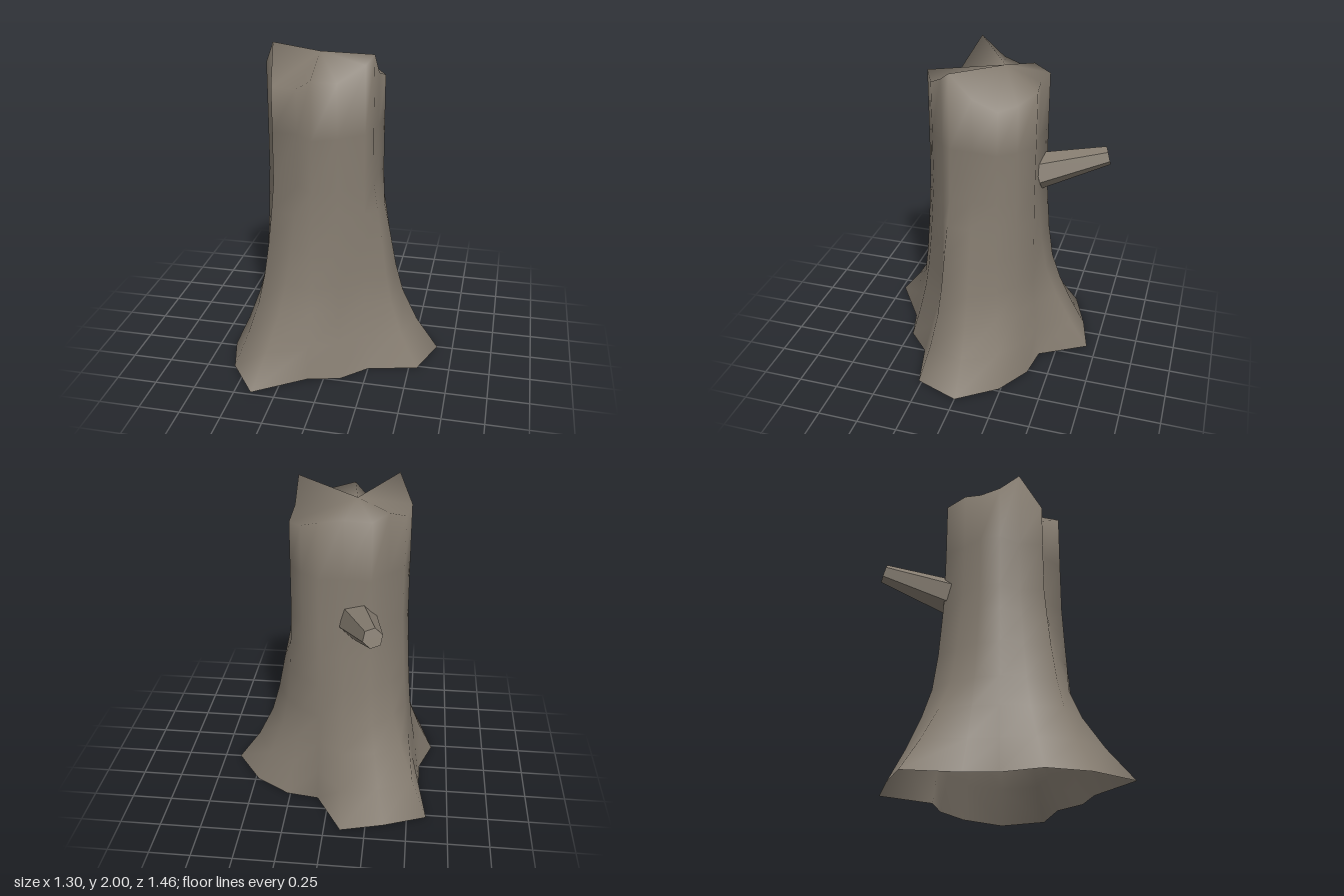
import * as THREE from 'three';

// How far the bark flares towards the root outline at each height
const heights = [0, 0.2, 0.4, 0.58, 0.8, 1, 1.18, 1.5];
const root = [1, 0.68, 0.42, 0.27, 0.15, 0.07, 0.01, 0];
const longRoot = [1, 0.66, 0.43, 0.31, 0.21, 0.11, 0.02, 0];
const backRoot = [1, 0.67, 0.39, 0.2, 0.1, 0.05, 0.01, 0];
const hollow = [1, 0.65, 0.3, 0.14, 0.07, 0.03, 0, 0];

// Columns of bark from +x towards +z: [root x, z, rim x, z, y, flare]
const columns = [
  [0.65, 0, 0.235, 0, 1.82, longRoot],
  [0.55, 0.27, 0.23, 0.14, 1.96, longRoot],
  [0.25, 0.34, 0.19, 0.2, 1.91, hollow],
  [0.1, 0.48, 0.05, 0.31, 1.83, root],
  [-0.1, 0.53, -0.09, 0.38, 1.85, root],
  [-0.4, 0.73, -0.2, 0.27, 1.77, root],
  [-0.58, 0.48, -0.35, 0.26, 1.77, root],
  [-0.65, 0.23, -0.37, 0.12, 2, root],
  [-0.57, 0, -0.45, 0, 1.85, root],
  [-0.57, -0.2, -0.42, -0.12, 1.82, root],
  [-0.62, -0.52, -0.33, -0.22, 1.87, backRoot],
  [-0.36, -0.62, -0.24, -0.34, 1.85, backRoot],
  [-0.1, -0.69, -0.08, -0.32, 1.85, backRoot],
  [0.07, -0.4, 0.06, -0.335, 1.84, hollow],
  [0.27, -0.37, 0.17, -0.25, 1.79, hollow],
  [0.48, -0.24, 0.25, -0.15, 1.77, hollow],
];

function trunkGeometry() {
  const n = columns.length;
  const positions = [];
  const index = [];
  heights.forEach((y, level) => {
    columns.forEach(([rootX, rootZ, x, z, , flare]) => {
      positions.push(THREE.MathUtils.lerp(x, rootX, flare[level]), y, THREE.MathUtils.lerp(z, rootZ, flare[level]));
    });
  });
  columns.forEach(([, , x, z, y]) => positions.push(x, y, z));
  positions.push(-0.14, 1.91, -0.09);

  // Bark wall, left open underneath
  for (let r = 0; r < heights.length; r++) {
    for (let i = 0; i < n; i++) {
      const a = r * n + i;
      const b = r * n + (i + 1) % n;
      index.push(a, a + n, b, b, a + n, b + n);
    }
  }
  // Broken top: a fan from the heartwood to the jagged rim
  const o = heights.length * n;
  for (let i = 0; i < n; i++) index.push(o + n, o + (i + 1) % n, o + i);

  const g = new THREE.BufferGeometry();
  g.setAttribute('position', new THREE.Float32BufferAttribute(positions, 3));
  g.setIndex(index);
  g.computeVertexNormals();
  return g;
}

// Six-sided tapered limb between two points, flat shaded
function limbGeometry(from, to, r0, r1) {
  const axis = to.clone().sub(from);
  let g = new THREE.CylinderGeometry(r1, r0, axis.length(), 6);
  g.applyQuaternion(new THREE.Quaternion().setFromUnitVectors(new THREE.Vector3(0, 1, 0), axis.normalize()));
  const mid = from.clone().add(to).multiplyScalar(0.5);
  g.translate(mid.x, mid.y, mid.z);
  g = g.toNonIndexed();
  g.computeVertexNormals();
  return g;
}

export function createModel() {
  const model = new THREE.Group();
  model.name = 'treeStump';
  const bark = new THREE.MeshStandardMaterial({ color: 0x857c70, side: THREE.DoubleSide });
  bark.name = 'bark';

  const trunk = new THREE.Mesh(trunkGeometry(), bark);
  trunk.name = 'trunk';

  const branch = new THREE.Mesh(
    limbGeometry(new THREE.Vector3(-0.165, 1.235, -0.3), new THREE.Vector3(-0.275, 1.345, -0.715), 0.115, 0.058),
    bark,
  );
  branch.name = 'brokenBranch';

  model.add(trunk, branch);
  return model;
}
